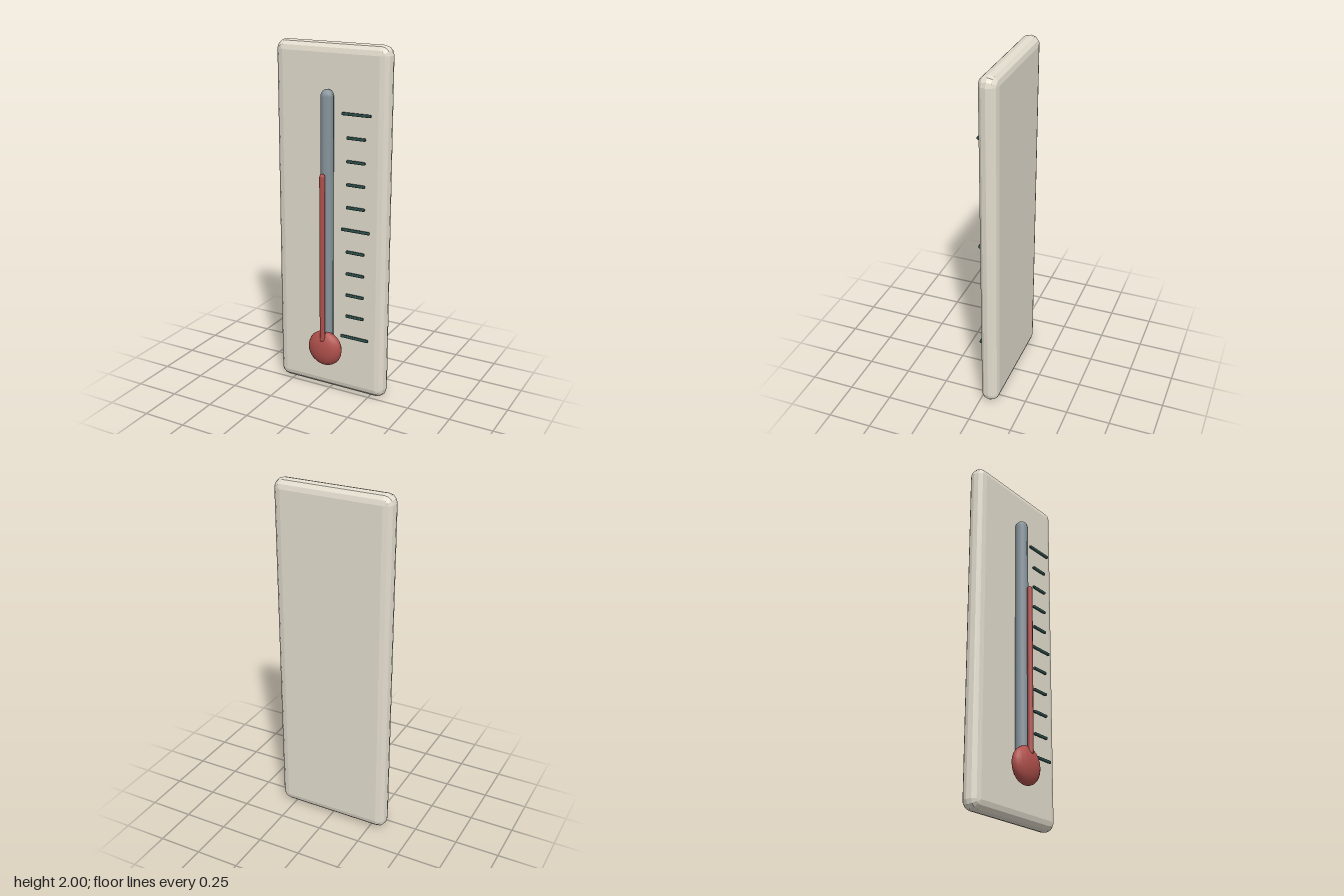
import * as THREE from 'three';
import { ConvexGeometry } from 'three/addons/geometries/ConvexGeometry.js';
import { RoundedBoxGeometry } from 'three/addons/geometries/RoundedBoxGeometry.js';

const material = (color, flatShading = false) => new THREE.MeshStandardMaterial({ color, flatShading });

// Faceted slab: one coarse ball octant at each corner, wrapped in a hull
function slabGeometry(width, height, depth, radius, steps) {
  const points = [];
  for (const sx of [-1, 1]) for (const sy of [-1, 1]) for (const sz of [-1, 1]) {
    for (let i = 0; i <= steps; i++) {
      const lat = (i / steps) * Math.PI / 2;
      const count = i === steps ? 0 : steps;
      for (let j = 0; j <= count; j++) {
        const lon = (j / steps) * Math.PI / 2;
        points.push(new THREE.Vector3(
          sx * (width / 2 - radius + radius * Math.cos(lat) * Math.cos(lon)),
          sy * (height / 2 - radius + radius * Math.cos(lat) * Math.sin(lon)),
          sz * (depth / 2 - radius + radius * Math.sin(lat))
        ));
      }
    }
  }
  return new ConvexGeometry(points);
}

// Upright round-ended rod between two heights
function rodGeometry(radius, bottom, top, sides) {
  return new THREE.CapsuleGeometry(radius, top - bottom - 2 * radius, 4, sides)
    .translate(0, (top + bottom) / 2, 0);
}

export function createModel() {
  const model = new THREE.Group();
  model.name = 'wallThermometer';

  const add = (name, geometry, mat, x, y, z, parent = model) => {
    const mesh = new THREE.Mesh(geometry, mat);
    mesh.name = name;
    mesh.position.set(x, y, z);
    parent.add(mesh);
    return mesh;
  };

  const red = material(0xb0504c);
  const dark = material(0x2c4f4a);

  // Backing board
  add('board', slabGeometry(0.68, 2, 0.105, 0.052, 3), material(0xe2dccd, true), 0, 1, -0.0525);

  // Glass tube, with the red column in front of it
  add('glassTube', rodGeometry(0.037, 0.3, 1.763, 8), material(0x87959d), 0, 0, 0.027);
  add('liquidColumn', rodGeometry(0.016, 0.33, 1.317, 8), red, 0, 0, 0.083);

  // Flattened bulb
  add('bulb', new THREE.SphereGeometry(0.105, 16, 12), red, 0, 0.28, 0.053).scale.z = 0.05 / 0.105;

  // Scale marks, every fifth one longer
  const marks = new THREE.Group();
  marks.name = 'scaleMarks';
  model.add(marks);
  for (let i = 0; i <= 10; i++) {
    const length = i % 5 === 0 ? 0.17 : 0.11;
    add('scaleMark', new RoundedBoxGeometry(length, 0.016, 0.015, 2, 0.005), dark,
      0.17, 0.364 + i * 0.1277, 0.0225, marks);
  }

  return model;
}
